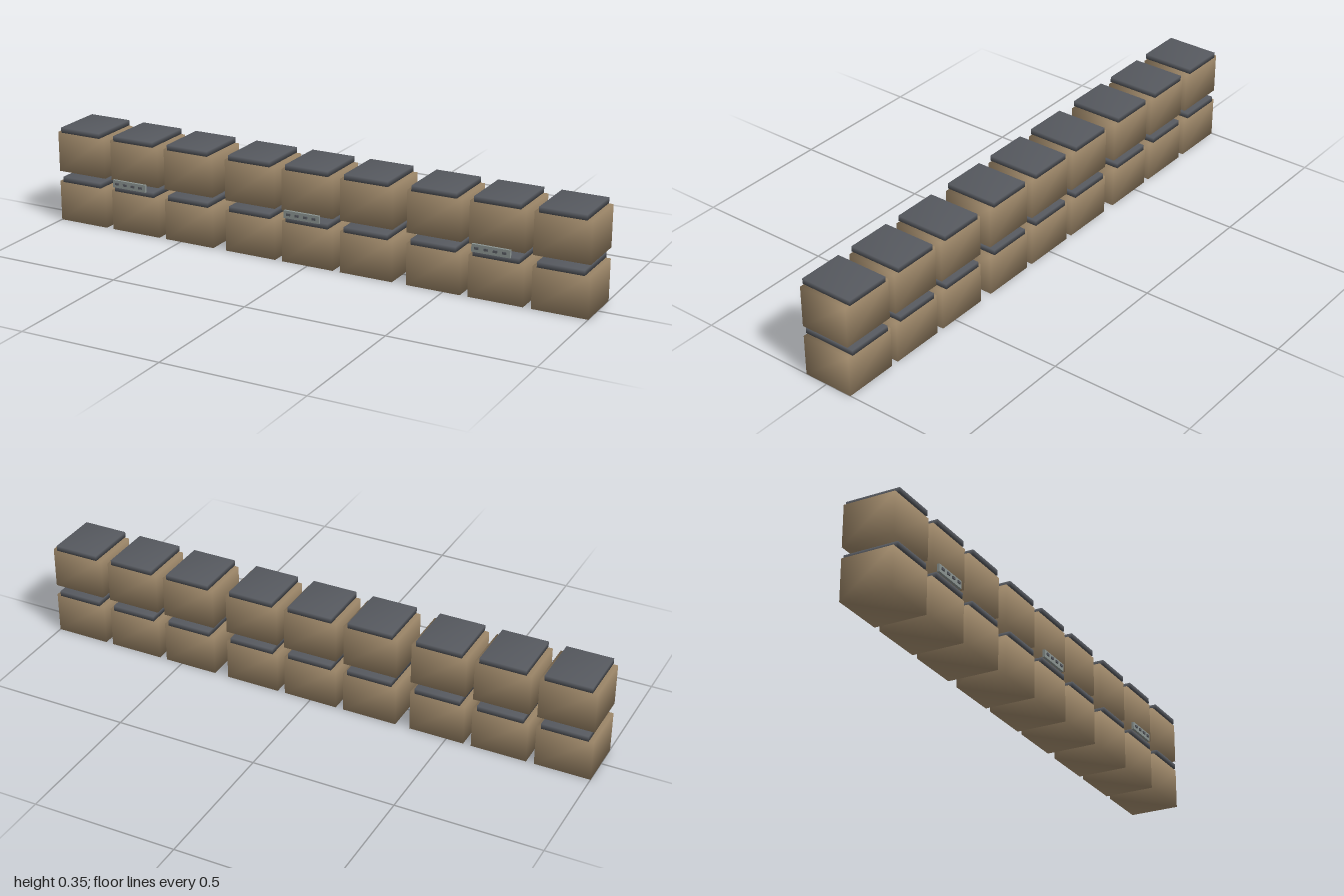
import * as THREE from 'three';
import { mergeVertices } from 'three/addons/utils/BufferGeometryUtils.js';

const material = (color) => new THREE.MeshStandardMaterial({ color });

// Box with shared corners, so its shading is smooth across the edges
function softBox(w, h, d) {
  const g = new THREE.BoxGeometry(w, h, d);
  g.deleteAttribute('uv');
  g.deleteAttribute('normal');
  const merged = mergeVertices(g);
  merged.computeVertexNormals();
  return merged;
}

export function createModel() {
  const model = new THREE.Group();
  model.name = 'drumRack';

  const tan = material(0x9c8668);
  const dark = material(0x56595f);
  const grey = material(0x8b9491);

  const bodyGeo = softBox(0.193, 0.145, 0.182);
  const lidGeo = softBox(0.16, 0.019, 0.191);
  const plateGeo = new THREE.BoxGeometry(0.134, 0.027, 0.009);
  const knobGeo = new THREE.BoxGeometry(0.014, 0.008, 0.005);

  const add = (parent, name, geo, mat, x, y, z) => {
    const mesh = new THREE.Mesh(geo, mat);
    mesh.name = name;
    mesh.position.set(x, y, z);
    parent.add(mesh);
  };

  // Three bays, each two rows of three lidded blocks
  for (const bayX of [-0.684, 0, 0.684]) {
    const bay = new THREE.Group();
    bay.name = 'bay';
    bay.position.x = bayX;
    model.add(bay);

    for (const base of [0, 0.1825]) {
      for (const x of [-0.22, 0, 0.22]) {
        add(bay, 'blockBody', bodyGeo, tan, x, base + 0.0725, -0.007);
        add(bay, 'blockLid', lidGeo, dark, x, base + 0.1545, -0.0065);
      }
    }

    // Small front plate with a row of knobs
    add(bay, 'frontPlate', plateGeo, grey, -0.0135, 0.1765, 0.0955);
    for (let i = 0; i < 4; i++) {
      add(bay, 'plateKnob', knobGeo, dark, -0.0135 + (i - 1.5) * 0.032, 0.1775, 0.1015);
    }
  }
  model.children.forEach((bay, i) => { bay.name = ['rightBay', 'middleBay', 'leftBay'][i]; });
  return model;
}
